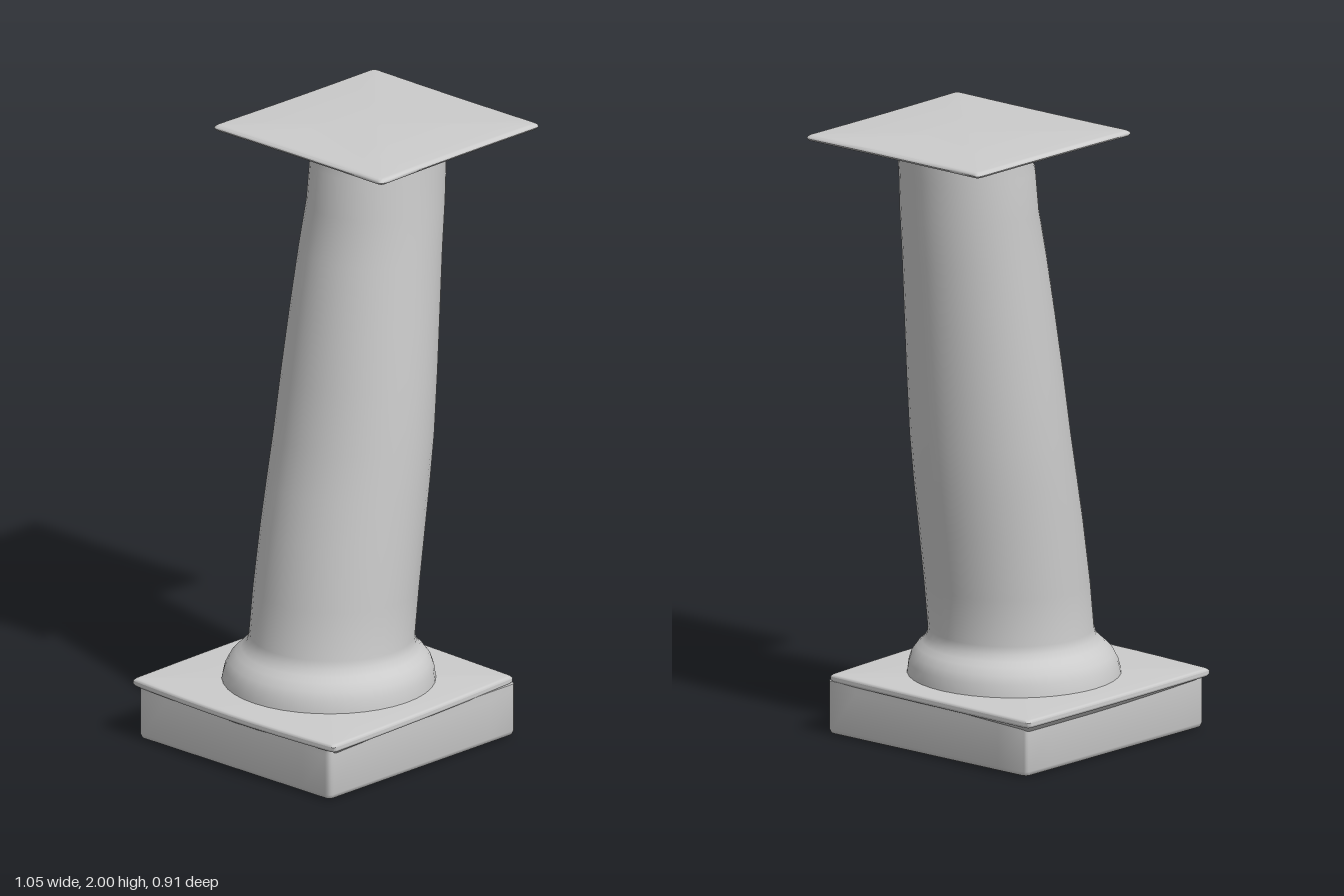
import * as THREE from 'three';
import { toCreasedNormals } from 'three/addons/utils/BufferGeometryUtils.js';

const material = new THREE.MeshStandardMaterial({ color: 0xcccccc });

// Skin a stack of closed rings (bottom to top, each running from +x towards +z) and cap both ends
function loft(name, rings, crease) {
  const n = rings[0].length, pos = rings.flat(2), idx = [];
  for (let r = 0; r < rings.length - 1; r++) {
    for (let i = 0; i < n; i++) {
      const a = r * n + i, b = r * n + (i + 1) % n;
      idx.push(a, a + n, b, b, a + n, b + n);
    }
  }
  for (const r of [0, rings.length - 1]) {
    const c = pos.length / 3;
    for (let k = 0; k < 3; k++) pos.push(rings[r].reduce((s, p) => s + p[k], 0) / n);
    for (let i = 0; i < n; i++) {
      const a = r * n + i, b = r * n + (i + 1) % n;
      if (r === 0) idx.push(c, a, b); else idx.push(c, b, a);
    }
  }
  const g = new THREE.BufferGeometry();
  g.setAttribute('position', new THREE.Float32BufferAttribute(pos, 3));
  g.setIndex(idx);
  const mesh = new THREE.Mesh(toCreasedNormals(g, crease), material);
  mesh.name = name;
  return mesh;
}

// Rounded four-cornered outline; bows push each edge outward in the middle
function slabRing(corners, y, inset = 0, radius = 0.02, bows = [0, 0, 0, 0]) {
  const P = corners.map(([x, z]) => new THREE.Vector2(x - Math.sign(x) * inset, z - Math.sign(z) * inset));
  const ring = [];
  P.forEach((p, i) => {
    const next = P[(i + 1) % 4], prev = P[(i + 3) % 4];
    const toNext = next.clone().sub(p).normalize(), toPrev = prev.clone().sub(p).normalize();
    const start = p.clone().addScaledVector(toPrev, radius), end = p.clone().addScaledVector(toNext, radius);
    for (const q of new THREE.QuadraticBezierCurve(start, p, end).getPoints(4)) ring.push([q.x, y, q.y]);
    const stop = next.clone().addScaledVector(toNext, -radius);
    for (let k = 1; k < 8; k++) {
      const q = end.clone().lerp(stop, k / 8), b = bows[i] * Math.sin(Math.PI * k / 8);
      ring.push([q.x + toNext.y * b, y, q.y - toNext.x * b]);
    }
  });
  return ring;
}

// Elliptical column section from its left, right, back and front limits
function roundRing([y, x0, x1, z0, z1], n = 40) {
  return Array.from({ length: n }, (_, i) => {
    const a = i / n * Math.PI * 2;
    return [(x0 + x1) / 2 + Math.cos(a) * (x1 - x0) / 2, y, (z0 + z1) / 2 + Math.sin(a) * (z1 - z0) / 2];
  });
}

export function createModel() {
  const group = new THREE.Group();

  // Square foot block
  const foot = [[0.35, 0.42], [-0.5, 0.42], [-0.5, -0.42], [0.35, -0.42]];
  group.add(loft('footBlock', [[0, 0.015], [0.005, 0.004], [0.018, 0], [0.15, 0], [0.175, 0]]
    .map(([y, inset]) => slabRing(foot, y, inset)), 0.9));

  // Thin uneven ledge flaring out over the block
  const ledge = [[0.352, 0.412], [-0.515, 0.453], [-0.505, -0.445], [0.382, -0.457]];
  const bows = [0.006, 0.018, 0.004, 0.002];
  group.add(loft('footLedge', [[0.15, 0.036], [0.165, 0.024], [0.172, 0.006], [0.18, 0], [0.19, 0], [0.196, 0.006], [0.197, 0.016]]
    .map(([y, inset]) => slabRing(ledge, y, inset, 0.018, bows)), 0.9));

  // Leaning shaft with a moulded collar at the foot and a small flare under the top
  const sections = [
    [0.18, -0.405, 0.275, -0.345, 0.34], [0.205, -0.402, 0.272, -0.34, 0.337],
    [0.235, -0.395, 0.268, -0.333, 0.332], [0.262, -0.382, 0.258, -0.32, 0.322],
    [0.285, -0.36, 0.24, -0.3, 0.305], [0.3, -0.343, 0.224, -0.284, 0.288],
    [0.32, -0.325, 0.21, -0.267, 0.273], [0.345, -0.317, 0.206, -0.262, 0.268],
    [0.5, -0.297, 0.225, -0.263, 0.268], [0.7, -0.264, 0.255, -0.262, 0.266],
    [0.85, -0.233, 0.277, -0.262, 0.264], [1.0, -0.202, 0.295, -0.26, 0.262],
    [1.2, -0.17, 0.315, -0.253, 0.253], [1.4, -0.137, 0.335, -0.243, 0.24],
    [1.6, -0.1, 0.355, -0.233, 0.226], [1.75, -0.068, 0.37, -0.225, 0.218],
    [1.88, -0.055, 0.38, -0.221, 0.212], [1.93, -0.04, 0.385, -0.215, 0.21],
    [1.96, -0.04, 0.387, -0.215, 0.21], [1.972, -0.05, 0.394, -0.222, 0.218],
    [1.98, -0.07, 0.412, -0.242, 0.236], [1.984, -0.1, 0.44, -0.27, 0.265],
  ];
  group.add(loft('shaft', sections.map(s => roundRing(s)), 0.9));

  // Thin square plate on top
  const plate = [[0.52, 0.364], [-0.214, 0.372], [-0.209, -0.374], [0.526, -0.372]];
  group.add(loft('topPlate', [[1.98, 0.014], [1.983, 0.004], [1.989, 0], [1.995, 0.002], [1.999, 0.008], [2, 0.018]]
    .map(([y, inset]) => slabRing(plate, y, inset, 0.016, [-0.004, -0.003, -0.003, -0.003])), 0.9));

  return group;
}
